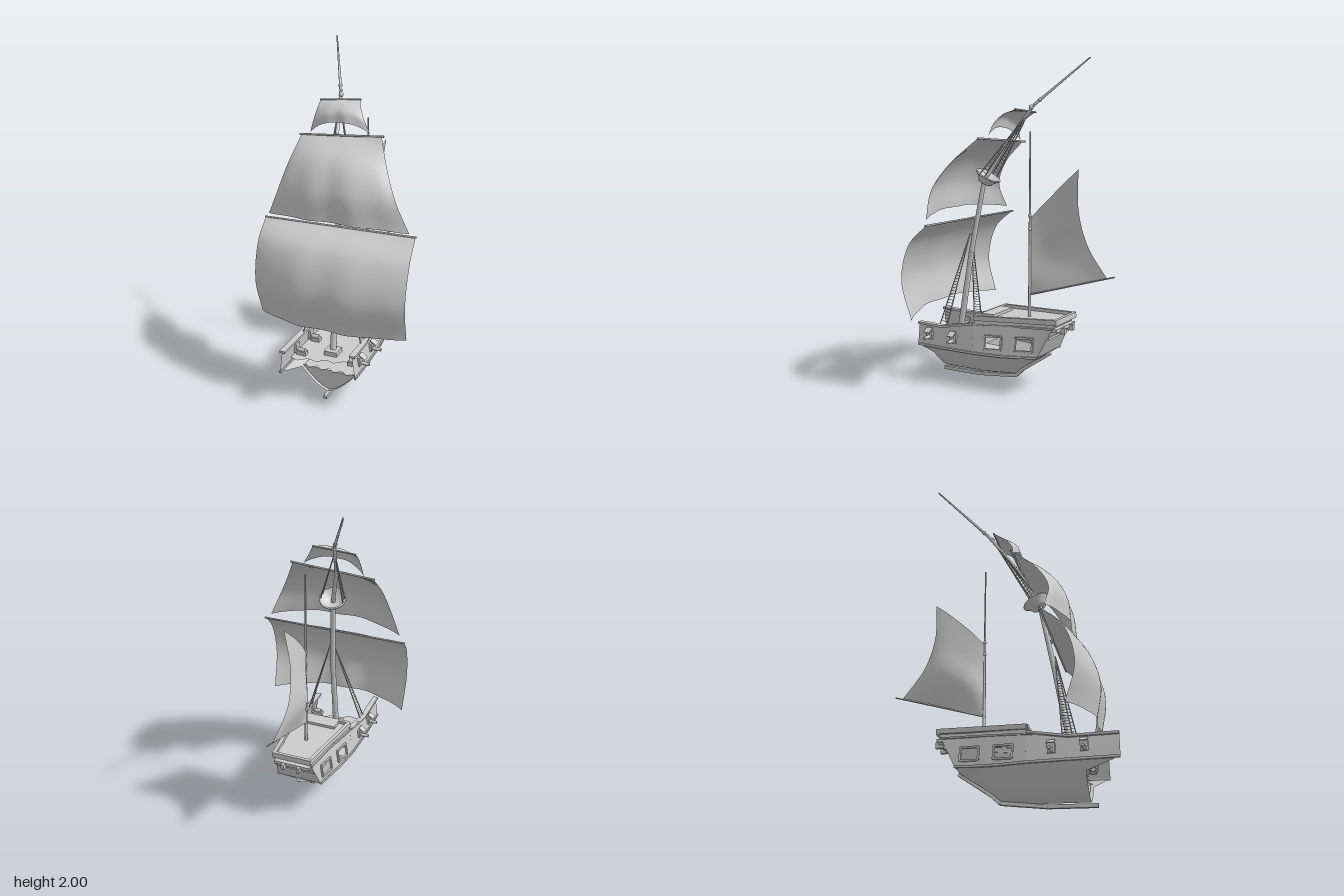
import * as THREE from 'three';

const V = (x, y, z) => new THREE.Vector3(x, y, z);
const mat = new THREE.MeshStandardMaterial({ color: 0xcccccc, side: THREE.DoubleSide });

// linear lookup in a table of [z, value], z falling
function at(table, z) {
  if (z >= table[0][0]) return table[0][1];
  for (let i = 1; i < table.length; i++) {
    const [z0, a] = table[i - 1], [z1, b] = table[i];
    if (z >= z1) return a + (b - a) * (z0 - z) / (z0 - z1);
  }
  return table[table.length - 1][1];
}

// hull lines
const beam = z => at([[0.4, 0.213], [0.17, 0.205], [0, 0.183], [-0.25, 0.145]], z);
const waleY = z => at([[0.5, 0.215], [-0.05, 0.22], [-0.25, 0.238]], z);
const keelY = z => at([[0.49, 0.03], [0.2, 0.037], [-0.02, 0.062], [-0.07, 0.108], [-0.25, 0.23]], z);
const topY = z => at([[0.4, 0.355], [0.171, 0.4], [0.169, 0.44], [-0.25, 0.46]], z);
const lean = (z, y) => (z < -0.24 ? z - 0.5 * (y - 0.235) : z);
const halfWidth = (z, y) => beam(z) - 0.14 * Math.max(0, y - 0.22);
const sidePoint = (s, z, y, out = 0) => V(s * (halfWidth(z, y) + out), y, lean(z, y));

export function createModel() {
  const model = new THREE.Group();

  const add = (name, geo) => {
    const m = new THREE.Mesh(geo, mat);
    m.name = name;
    model.add(m);
    return m;
  };
  // sheet of nu x nv cells from f(i, j), leaving out skipped cells
  const sheet = (name, nu, nv, f, skip = () => false) => {
    const pos = [], idx = [];
    for (let i = 0; i <= nu; i++) for (let j = 0; j <= nv; j++) pos.push(...f(i, j).toArray());
    for (let i = 0; i < nu; i++) for (let j = 0; j < nv; j++) {
      if (skip(i, j)) continue;
      const a = i * (nv + 1) + j, b = a + nv + 1;
      idx.push(a, b, a + 1, b, b + 1, a + 1);
    }
    const g = new THREE.BufferGeometry();
    g.setAttribute('position', new THREE.Float32BufferAttribute(pos, 3));
    g.setIndex(idx);
    g.computeVertexNormals();
    return add(name, g);
  };
  const span = (m, a, b) => {
    m.position.copy(a).lerp(b, 0.5);
    m.lookAt(b);
    return m;
  };
  const rod = (name, a, b, r0, r1 = r0, sides = 8) =>
    span(add(name, new THREE.CylinderGeometry(r1, r0, a.distanceTo(b), sides).rotateX(Math.PI / 2)), a, b);
  const bar = (name, a, b, w, h) => span(add(name, new THREE.BoxGeometry(w, h, a.distanceTo(b))), a, b);
  const box = (name, w, h, d, x, y, z) => {
    const m = add(name, new THREE.BoxGeometry(w, h, d));
    m.position.set(x, y, z);
    return m;
  };
  const bars = (name, pts, w, h) => pts.slice(1).forEach((p, i) => bar(name, pts[i], p, w, h));
  // rope ladder from two feet to one top
  const ladder = (name, feet, top, rungs) => {
    feet.forEach(f => rod(name, f, top, 0.004, 0.003, 5));
    for (let k = 1; k < rungs; k++) {
      const [a, b] = feet.map(f => f.clone().lerp(top, k / rungs));
      rod(name + 'Rung', a, b, 0.002, 0.002, 4);
    }
  };

  for (const s of [-1, 1]) {
    const side = s > 0 ? 'left' : 'right';
    const bowZ = s > 0 ? 0.58 : 0.68;

    // rounded bottom, broken off at the bow
    const hz = [0.49, 0.4, 0.3, 0.2, 0.1, -0.02, -0.07, -0.13, -0.19, -0.25];
    sheet(side + 'LowerHull', hz.length - 1, 10, (i, j) => {
      const z = hz[i], t = j / 10;
      const reach = i ? 0 : (bowZ - 0.49) * Math.max(0, (t - 0.7) / 0.3);
      return V(s * beam(z) * t ** 0.68, keelY(z) + (waleY(z) - keelY(z)) * t, z + reach);
    });

    // topsides with two open windows
    const uz = [bowZ, 0.5, 0.4, 0.3, 0.171, 0.169, 0.09, -0.02, -0.11, -0.22, -0.25];
    sheet(side + 'Topside', uz.length - 1, 3, (i, j) => {
      const z = uz[i], sill = 0.25 + (0.09 - z) * 0.06;
      return sidePoint(s, z, [waleY(z), sill, sill + 0.08, topY(z)][j]);
    }, (i, j) => j === 1 && (i === 6 || i === 8));

    // window frames
    for (const [z0, z1] of [[0.09, -0.02], [-0.11, -0.22]]) {
      const c = (z, k) => sidePoint(s, z, 0.25 + (0.09 - z) * 0.06 + k * 0.08, 0.003);
      bars(side + 'WindowFrame', [c(z0, 0), c(z1, 0), c(z1, 1), c(z0, 1), c(z0, 0)], 0.012, 0.012);
    }

    // wale, bulwark rail, sheer strake and poop rail
    bars(side + 'Wale', [bowZ, 0.4, 0.17, 0, -0.13, -0.25].map(z => sidePoint(s, z, waleY(z), 0.001)), 0.012, 0.014);
    bars(side + 'BulwarkRail', [bowZ, 0.4, 0.3, 0.17].map(z => sidePoint(s, z, at([[0.4, 0.35], [0.17, 0.395]], z))), 0.035, 0.014);
    bars(side + 'Strake', [0.3, 0.1, -0.1, -0.25].map(z => sidePoint(s, z, 0.375 + (0.3 - z) * 0.08, 0.003)), 0.012, 0.01);
    bar(side + 'PoopRail', V(s * 0.176, 0.43, 0.17), V(s * 0.114, 0.462, -0.37), 0.022, 0.03);

    // gun ports and guns
    for (const z of [0.49, 0.31]) {
      const x = s * halfWidth(z, 0.29);
      box(side + 'GunPort', 0.03, 0.055, 0.045, x, 0.285, z);
      const lid = box(side + 'PortLid', 0.045, 0.006, 0.045, x + s * 0.025, 0.318, z);
      lid.rotation.z = -s * 0.6;
      rod(side + 'Gun', V(x - s * 0.06, 0.272, z), V(s * 0.268, 0.274, z), 0.014, 0.01, 10);
      box(side + 'GunCarriage', 0.06, 0.025, 0.035, x - s * 0.04, 0.255, z);
    }

    ladder(side + 'Shroud', [0.425, 0.37].map(z => V(s * 0.185, 0.36, z)), V(s * 0.008, 0.92, 0.315), 30);
  }

  // keel
  bars('keel', [[0.01, 0.53], [0.018, 0.25], [0.052, -0.02], [0.1, -0.07], [0.235, -0.265]].map(([y, z]) => V(0, y, z)), 0.02, 0.022);

  // decks, the front edges ragged and cut askew
  const deck = (name, zs, y, rag, skew, scale = 1) => sheet(name, zs.length - 1, 8, (i, j) => {
    const u = j / 4 - 1, yy = y(zs[i]);
    return V(u * scale * halfWidth(zs[i], yy), yy, zs[i] + (i ? 0 : rag * (j % 2) - skew * u));
  });
  deck('mainDeck', [0.5, 0.4, 0.3, 0.17], () => 0.245, 0.03, 0.05);
  deck('lowerDeck', [0.46, 0.3, 0.17], () => 0.165, 0.03, 0, 0.76);
  deck('poopDeck', [0.169, 0, -0.24, -0.36], z => 0.425 + (0.17 - z) * 0.06, 0, 0);

  // bulkheads across the hull
  sheet('bowBulkhead', 8, 6, (i, j) => {
    const t = j / 6 * 0.72;
    return V((i / 4 - 1) * beam(0.47) * t ** 0.68, 0.03 + 0.185 * t, 0.47);
  });
  sheet('cabinFront', 2, 1, (i, j) => V((i - 1) * halfWidth(0.17, 0.24 + j * 0.2), 0.24 + j * 0.2, 0.168));
  sheet('transom', 2, 4, (i, j) => {
    const y = 0.238 + j * 0.222 / 4;
    return V((i - 1) * halfWidth(-0.25, y), y, lean(-0.25, y));
  });
  box('cabinDoor', 0.07, 0.14, 0.012, 0, 0.315, 0.175);
  box('poopFrontRail', 0.36, 0.02, 0.02, 0, 0.435, 0.168);
  box('sternRail', 0.24, 0.035, 0.02, 0, 0.46, -0.362);
  box('sternLedge', 0.23, 0.02, 0.05, 0, 0.41, -0.345);
  box('sternLowerLedge', 0.25, 0.014, 0.025, 0, 0.36, -0.31);
  for (const x of [-0.05, 0.05]) box('sternPost', 0.02, 0.035, 0.05, x, 0.4, -0.368);
  box('poopHatch', 0.22, 0.02, 0.09, 0, 0.438, 0.12);
  box('mastStep', 0.08, 0.03, 0.08, 0, 0.258, 0.41);

  // bent main mast, thinning upwards, with bands on the top pole
  const mast = [V(0, 0.24, 0.41), V(-0.004, 0.8, 0.315), V(-0.032, 1.25, 0.235), V(-0.1, 1.5, 0.1), V(-0.145, 1.72, -0.06), V(-0.3, 1.998, -0.355)];
  const radii = [0.02, 0.017, 0.014, 0.011, 0.009, 0.004];
  mast.slice(1).forEach((p, i) => rod('mainMast', mast[i], p, radii[i], radii[i + 1], 12));
  for (const [t, r] of [[-0.06, 0.015], [0.1, 0.013], [0.42, 0.008], [0.78, 0.007], [0.93, 0.006]]) {
    add('mastBand', new THREE.SphereGeometry(r, 10, 8)).position.copy(mast[4]).lerp(mast[5], t);
  }

  // crow's nest tilted with the mast, and its rope ladders
  const bowl = [[0, 0], [0.045, 0], [0.05, 0.012], [0.076, 0.045], [0.083, 0.045], [0.083, 0.053], [0.073, 0.053], [0.045, 0.012], [0, 0.01]];
  const nest = add('crowsNest', new THREE.LatheGeometry(bowl.map(p => new THREE.Vector2(...p)), 20));
  nest.position.set(-0.035, 1.24, 0.232);
  nest.quaternion.setFromUnitVectors(V(0, 1, 0), V(-0.08, 0.87, -0.48).normalize());
  nest.updateMatrixWorld();
  const ropeTop = mast[3].clone().lerp(mast[4], 0.8);
  for (const s of [-1, 1]) {
    const feet = [-0.25, 0.25].map(a =>
      V(s * Math.cos(a) * 0.075, 0.05, Math.sin(a) * 0.075).applyMatrix4(nest.matrixWorld));
    ladder('topmastShroud', feet, ropeTop, 20);
  }

  // mizzen mast
  rod('mizzenMast', V(0.005, 0.42, -0.12), V(0.005, 1.56, -0.12), 0.01, 0.004, 10);
  for (const y of [0.79, 0.98, 1.06]) add('mizzenBand', new THREE.SphereGeometry(0.011, 10, 8)).position.set(0.005, y, -0.12);

  // yards and boom
  rod('mainYard', V(-0.48, 1.01, 0.308), V(0.47, 1.022, 0.308), 0.006);
  rod('topYard', V(-0.33, 1.485, 0.12), V(0.2, 1.522, 0.12), 0.006);
  rod('upperYard', V(-0.255, 1.672, -0.005), V(0.005, 1.692, -0.012), 0.005);
  rod('mizzenBoom', V(0.005, 0.575, -0.11), V(0.008, 0.748, -0.682), 0.005, 0.004);
  bar('mainYardBrace', V(-0.012, 1.016, 0.308), V(-0.012, 1.016, 0.27), 0.02, 0.015);

  // sails: two edges and a belly line, swept across with light ripples
  const sail = (name, edgeA, belly, edgeB, ripple) => {
    const [a, m, b] = [edgeA, belly, edgeB].map(l => new THREE.CatmullRomCurve3(l.map(p => V(...p))));
    return sheet(name, 32, 20, (i, j) => {
      const u = i / 32, t = j / 20, A = a.getPoint(t), B = b.getPoint(t);
      const swell = m.getPoint(t).sub(A.clone().lerp(B, 0.5)).multiplyScalar(1 - Math.abs(2 * u - 1) ** 2.4);
      const p = A.lerp(B, u).add(swell);
      p.z += ripple * t * Math.sin(Math.PI * u) * Math.cos(u * Math.PI * 6);
      return p;
    });
  };
  sail('mainSail',
    [[-0.475, 1.01, 0.31], [-0.465, 0.9, 0.43], [-0.46, 0.68, 0.49], [-0.455, 0.45, 0.43]],
    [[0, 1.015, 0.31], [0, 0.92, 0.49], [0, 0.7, 0.585], [0, 0.468, 0.555]],
    [[0.465, 1.02, 0.31], [0.475, 0.9, 0.43], [0.475, 0.68, 0.49], [0.465, 0.438, 0.425]], 0.01);
  sail('topSail',
    [[-0.315, 1.485, 0.13], [-0.335, 1.35, 0.27], [-0.37, 1.2, 0.345], [-0.44, 1.045, 0.33]],
    [[-0.065, 1.5, 0.13], [-0.04, 1.41, 0.32], [-0.02, 1.25, 0.415], [0, 1.08, 0.43]],
    [[0.19, 1.52, 0.13], [0.28, 1.37, 0.27], [0.36, 1.22, 0.345], [0.435, 1.045, 0.33]], 0.01);
  sail('upperSail',
    [[-0.25, 1.67, 0], [-0.245, 1.62, 0.07], [-0.25, 1.56, 0.11], [-0.265, 1.5, 0.115]],
    [[-0.12, 1.682, -0.01], [-0.11, 1.67, 0.07], [-0.1, 1.635, 0.12], [-0.09, 1.58, 0.135]],
    [[0, 1.69, -0.01], [0.035, 1.655, 0.06], [0.07, 1.6, 0.1], [0.11, 1.53, 0.11]], 0.004);
  sail('mizzenSail',
    [[0, 1.05, -0.125], [0, 0.9, -0.125], [0, 0.74, -0.125], [0, 0.575, -0.125]],
    [[-0.02, 1.2, -0.27], [-0.04, 1.0, -0.28], [-0.06, 0.82, -0.31], [0, 0.66, -0.38]],
    [[0, 1.35, -0.44], [-0.03, 1.1, -0.43], [-0.035, 0.9, -0.49], [0, 0.735, -0.63]], 0);

  return model;
}
